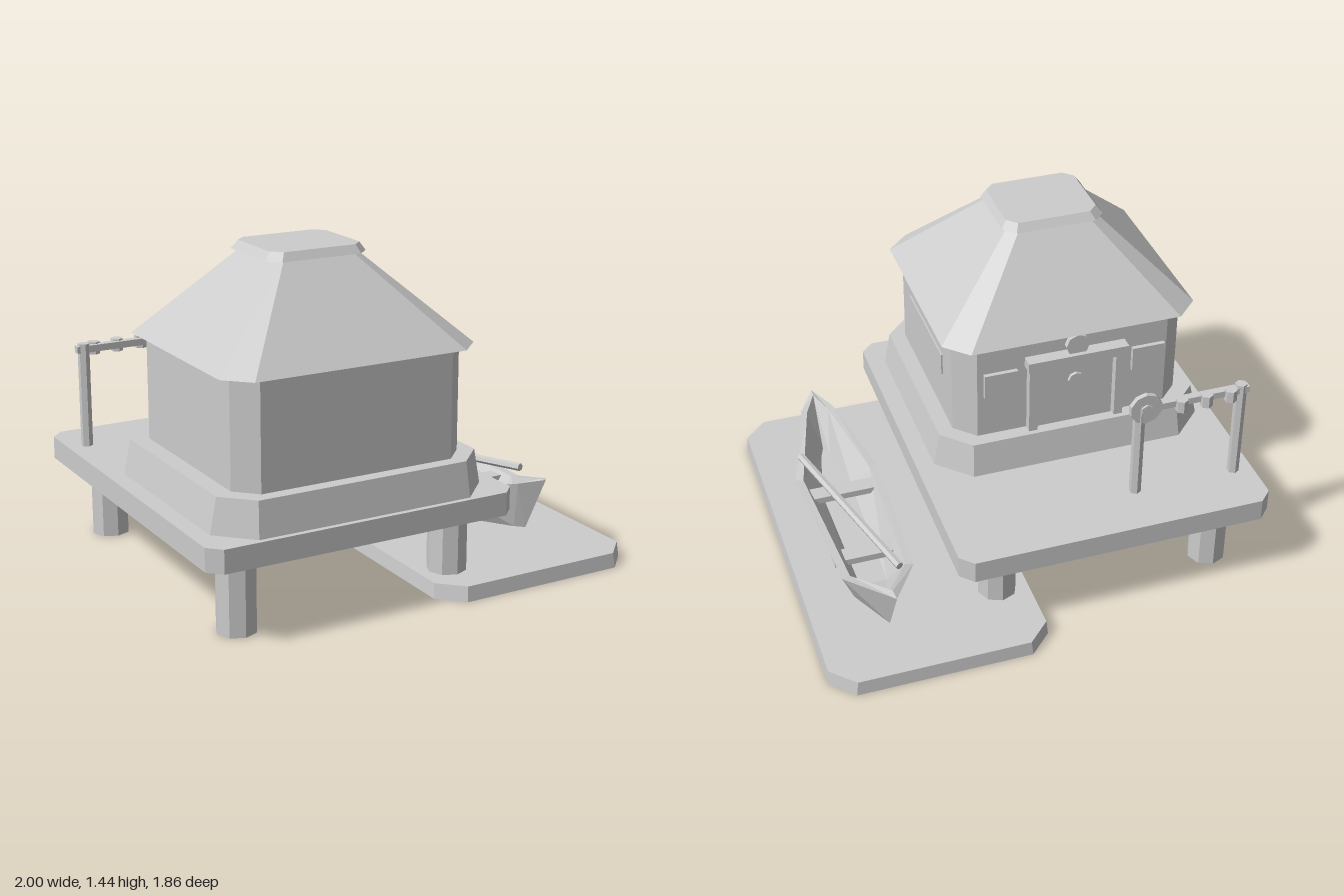
import * as THREE from 'three';

const grey = new THREE.MeshStandardMaterial({ color: 0xcccccc, flatShading: true, side: THREE.DoubleSide });
grey.name = 'plain grey';

// Skin a list of equal-length closed rings, optionally capping the first and last
function loft(rings, capFirst, capLast) {
  const pos = [];
  const tri = (a, b, c) => pos.push(...a, ...b, ...c);
  const n = rings[0].length;
  for (let i = 0; i + 1 < rings.length; i++) {
    for (let j = 0; j < n; j++) {
      const k = (j + 1) % n;
      const a = rings[i][j], b = rings[i][k], c = rings[i + 1][k], d = rings[i + 1][j];
      tri(a, b, c);
      tri(a, c, d);
    }
  }
  const lo = rings[0], hi = rings[rings.length - 1];
  for (let j = 1; j + 1 < n; j++) {
    if (capFirst) tri(lo[0], lo[j + 1], lo[j]);
    if (capLast) tri(hi[0], hi[j], hi[j + 1]);
  }
  const g = new THREE.BufferGeometry();
  g.setAttribute('position', new THREE.Float32BufferAttribute(pos, 3));
  g.computeVertexNormals();
  return g;
}

// Rectangle with cut corners at height y
const octRing = (y, x0, x1, z0, z1, c) => [
  [x0 + c, y, z1], [x1 - c, y, z1], [x1, y, z1 - c], [x1, y, z0 + c],
  [x1 - c, y, z0], [x0 + c, y, z0], [x0, y, z0 + c], [x0, y, z1 - c],
];

function add(parent, name, geometry, x = 0, y = 0, z = 0) {
  const m = new THREE.Mesh(geometry, grey);
  m.name = name;
  m.position.set(x, y, z);
  parent.add(m);
  return m;
}

// Box given by its extents
const block = (parent, name, x0, x1, y0, y1, z0, z1) =>
  add(parent, name, new THREE.BoxGeometry(x1 - x0, y1 - y0, z1 - z0),
    (x0 + x1) / 2, (y0 + y1) / 2, (z0 + z1) / 2);

// Disc facing along z
const disc = (parent, name, r, depth, sides, x, y, z) =>
  add(parent, name, new THREE.CylinderGeometry(r, r, depth, sides).rotateX(Math.PI / 2), x, y, z);

// Straight pole between two points
function pole(parent, name, from, to, r, sides) {
  const a = new THREE.Vector3(...from), b = new THREE.Vector3(...to);
  const m = add(parent, name, new THREE.CylinderGeometry(r, r, a.distanceTo(b), sides));
  m.position.copy(a).lerp(b, 0.5);
  m.quaternion.setFromUnitVectors(new THREE.Vector3(0, 1, 0), b.sub(a).normalize());
}

function makePlatforms(root) {
  // The dock is a shell, open underneath
  add(root, 'lowerDock', loft([
    octRing(0, 0.04, 1, -0.93, 0.928, 0.1),
    octRing(0.065, 0.046, 0.994, -0.924, 0.92, 0.1),
  ], false, true));
  add(root, 'upperDeck', loft([
    octRing(0.33, -1, 0.398, -0.775, 0.895, 0.055),
    octRing(0.43, -1, 0.398, -0.775, 0.895, 0.055),
  ], true, true));
  for (const x of [-0.805, 0.18]) for (const z of [-0.56, 0.705]) {
    add(root, 'deckLeg', new THREE.CylinderGeometry(0.085, 0.085, 0.335, 8, 1, true), x, 0.1675, z);
  }
}

function makeHouse() {
  const house = new THREE.Group();
  house.name = 'house';
  add(house, 'plinth', loft([
    octRing(0.43, -0.925, 0.318, -0.235, 0.872, 0.14),
    octRing(0.58, -0.895, 0.29, -0.208, 0.85, 0.12),
  ], true, true));
  add(house, 'walls', loft([
    octRing(0.58, -0.82, 0.22, -0.147, 0.792, 0.087),
    octRing(1.045, -0.82, 0.22, -0.147, 0.792, 0.087),
  ], true, true));
  add(house, 'roof', loft([
    octRing(1.04, -0.876, 0.27, -0.188, 0.835, 0.1),
    octRing(1.405, -0.505, -0.108, 0.138, 0.485, 0.04),
  ], true, true));
  // Cap overhangs the top of the roof
  add(house, 'roofCap', loft([
    octRing(1.405, -0.535, -0.078, 0.11, 0.512, 0.05),
    octRing(1.44, -0.508, -0.1, 0.135, 0.49, 0.042),
  ], true, true));
  block(house, 'sideWindow', 0.219, 0.227, 0.78, 0.88, 0.075, 0.575);

  // Doorway and windows on the back wall
  block(house, 'door', -0.48, -0.135, 0.58, 0.905, -0.16, -0.14);
  for (const x of [-0.505, -0.11]) block(house, 'doorPost', x - 0.02, x + 0.02, 0.58, 0.91, -0.186, -0.14);
  block(house, 'lintel', -0.535, -0.08, 0.905, 0.95, -0.205, -0.14);
  disc(house, 'doorBoss', 0.035, 0.02, 8, -0.308, 0.8, -0.165);
  disc(house, 'crest', 0.053, 0.025, 8, -0.308, 0.987, -0.172);
  for (const x of [-0.645, 0.03]) block(house, 'backWindow', x - 0.075, x + 0.075, 0.785, 0.9, -0.167, -0.14);
  return house;
}

function makeRack() {
  const rack = new THREE.Group();
  rack.name = 'rack';
  for (const x of [-0.912, -0.452]) {
    add(rack, 'rackPost', new THREE.CylinderGeometry(0.026, 0.026, 0.465, 6), x, 0.6625, -0.538);
  }
  block(rack, 'rackBeam', -0.945, -0.41, 0.855, 0.885, -0.557, -0.523);
  for (const x of [-0.855, -0.745, -0.632]) {
    add(rack, 'rackPeg', new THREE.CylinderGeometry(0.027, 0.027, 0.055, 6), x, 0.865, -0.562);
  }
  disc(rack, 'wheel', 0.072, 0.022, 10, -0.474, 0.875, -0.55);
  disc(rack, 'wheelHub', 0.026, 0.04, 6, -0.474, 0.875, -0.55);
  return rack;
}

function makeBoat() {
  const boat = new THREE.Group();
  boat.name = 'boat';
  boat.position.x = 0.688;
  // Each station: rim, chine, keel, inner rim, floor, as [halfWidth, y, z]
  const stations = [
    [[0, 0.37, -0.815], [0, 0.105, -0.67], [0, 0.105, -0.67], [0, 0.36, -0.75], [0, 0.15, -0.57]],
    [[0.156, 0.25, -0.5], [0.092, 0.061, -0.42], [0, 0.09, -0.42], [0.12, 0.25, -0.49], [0.06, 0.1, -0.4]],
    [[0.19, 0.215, 0.245], [0.1, 0.061, 0.25], [0, 0.09, 0.25], [0.155, 0.215, 0.235], [0.072, 0.1, 0.24]],
    [[0.074, 0.33, 0.6], [0.03, 0.1, 0.52], [0, 0.1, 0.52], [0.05, 0.325, 0.585], [0.02, 0.14, 0.47]],
    [[0, 0.365, 0.7], [0, 0.105, 0.565], [0, 0.105, 0.565], [0, 0.36, 0.665], [0, 0.15, 0.52]],
  ];
  const side = (p, s) => [p[0] * s, p[1], p[2]];
  const rings = stations.map(([rim, chine, keel, inner, floor]) => [
    side(rim, -1), side(chine, -1), keel, side(chine, 1), side(rim, 1),
    side(inner, 1), side(floor, 1), side(floor, -1), side(inner, -1),
  ]);
  add(boat, 'hull', loft(rings, false, false));
  block(boat, 'rearBench', -0.15, 0.15, 0.175, 0.205, -0.34, -0.265);
  block(boat, 'frontBench', -0.155, 0.155, 0.175, 0.205, 0.1, 0.175);
  pole(boat, 'oar', [-0.1, 0.235, -0.48], [0.142, 0.286, 0.32], 0.018, 6);
  return boat;
}

export function createModel() {
  const root = new THREE.Group();
  root.name = 'stiltHouse';
  makePlatforms(root);
  root.add(makeHouse(), makeRack(), makeBoat());
  return root;
}
